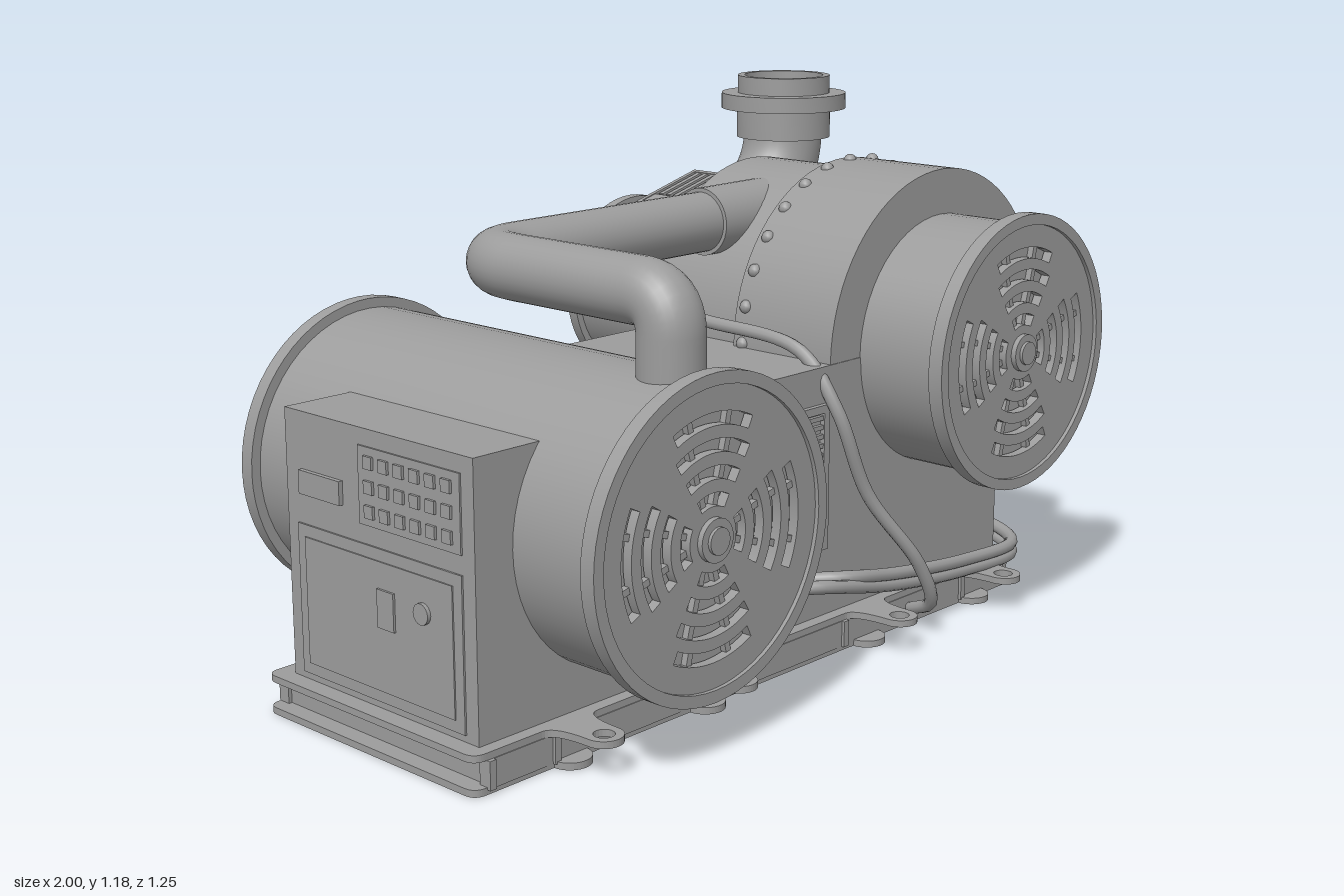
import * as THREE from 'three';
import { toCreasedNormals } from 'three/addons/utils/BufferGeometryUtils.js';

const grey = new THREE.MeshStandardMaterial({ color: 0x9c9c9c, side: THREE.DoubleSide });
const V = (p) => new THREE.Vector3(...p);

function add(parent, name, geometry, x = 0, y = 0, z = 0) {
  const mesh = new THREE.Mesh(geometry, grey);
  mesh.name = name;
  mesh.position.set(x, y, z);
  parent.add(mesh);
  return mesh;
}
function addGroup(parent, name, x = 0, y = 0, z = 0) {
  const g = new THREE.Group();
  g.name = name;
  g.position.set(x, y, z);
  parent.add(g);
  return g;
}
const box = (w, h, d) => new THREE.BoxGeometry(w, h, d);
const lathe = (pts, n = 48) =>
  toCreasedNormals(new THREE.LatheGeometry(pts.map((p) => new THREE.Vector2(...p)), n), 0.5);
// Solid cylinder along z, from z0 to z1
const drumZ = (r, z0, z1, n = 56) =>
  new THREE.CylinderGeometry(r, r, z1 - z0, n).rotateX(Math.PI / 2).translate(0, 0, (z0 + z1) / 2);
const tube = (pts, r, n = 80) =>
  new THREE.TubeGeometry(new THREE.CatmullRomCurve3(pts.map(V), false, 'centripetal'), n, r, 10);

// Arc-shaped slot outline centred on an angle
function slot(r0, r1, mid, half) {
  const p = new THREE.Path();
  p.absarc(0, 0, r1, mid - half, mid + half, false);
  p.absarc(0, 0, r0, mid + half, mid - half, true);
  p.closePath();
  return p;
}

// Slotted round end cover facing +z
function ventCover(parent, name, x, y, z, scale) {
  const g = addGroup(parent, name, x, y, z);
  g.scale.set(scale, scale, 1);
  const rim = [[0.29, 0], [0.332, 0], [0.332, 0.035], [0.306, 0.035], [0.306, 0.026], [0.285, 0.026]];
  add(g, 'coverRim', lathe(rim, 64).rotateX(Math.PI / 2));
  const disc = new THREE.Shape().absarc(0, 0, 0.295, 0, Math.PI * 2);
  const rings = [[0.225, 0.252, 0.46], [0.172, 0.199, 0.55], [0.119, 0.146, 0.55], [0.066, 0.093, 0.5]];
  for (const [r0, r1, half] of rings) {
    for (let i = 0; i < 4; i++) {
      const mid = (i * Math.PI) / 2;
      disc.holes.push(slot(r0, r1, mid, half));
      // Sunken bars inside each slot
      for (const s of [-0.5, 0.5]) {
        const a = mid + s * half;
        const bar = add(g, 'slotBar', box(r1 - r0, 0.014, 0.014),
          Math.cos(a) * (r0 + r1) / 2, Math.sin(a) * (r0 + r1) / 2, 0.008);
        bar.rotation.z = a;
      }
    }
  }
  const geo = new THREE.ExtrudeGeometry(disc, { depth: 0.022, bevelEnabled: false, curveSegments: 32 });
  add(g, 'slottedDisc', geo, 0, 0, 0.004);
  add(g, 'hub', drumZ(0.045, 0, 0.038, 24));
  add(g, 'hubCap', drumZ(0.028, 0.03, 0.045, 20));
  return g;
}

function boltRing(parent, name, z, r, count, size) {
  const g = addGroup(parent, name, 0, 0, z);
  for (let i = 0; i < count; i++) {
    const a = ((i + 0.4) / count) * Math.PI * 2;
    add(g, 'bolt', new THREE.SphereGeometry(size, 10, 8), Math.cos(a) * r, Math.sin(a) * r);
  }
}

// Plate with rounded corners and flared side tabs, lying flat
function plate(parent, name, y, h, tabs, reach, half, flare, hole) {
  const s = new THREE.Shape();
  const x0 = -1, x1 = 0.75, f = -0.4, b = 0.245, r = 0.03;
  s.moveTo(x0 + r, f);
  for (const t of tabs) {
    s.lineTo(t - half - flare, f);
    s.quadraticCurveTo(t - half, f, t - half, f - reach + half);
    s.absarc(t, f - reach + half, half, Math.PI, Math.PI * 2, false);
    s.quadraticCurveTo(t + half, f, t + half + flare, f);
  }
  s.lineTo(x1 - r, f);
  s.quadraticCurveTo(x1, f, x1, f + r);
  s.lineTo(x1, b - r);
  s.quadraticCurveTo(x1, b, x1 - r, b);
  for (const t of [...tabs].reverse()) {
    s.lineTo(t + half + flare, b);
    s.quadraticCurveTo(t + half, b, t + half, b + reach - half);
    s.absarc(t, b + reach - half, half, 0, Math.PI, false);
    s.quadraticCurveTo(t - half, b, t - half - flare, b);
  }
  s.lineTo(x0 + r, b);
  s.quadraticCurveTo(x0, b, x0, b - r);
  s.lineTo(x0, f + r);
  s.quadraticCurveTo(x0, f, x0 + r, f);
  if (hole) for (const t of tabs) for (const hy of [f - reach + half, b + reach - half])
    s.holes.push(new THREE.Path().absarc(t, hy, hole, 0, Math.PI * 2));
  const geo = new THREE.ExtrudeGeometry(s, { depth: h, bevelEnabled: false, curveSegments: 10 });
  add(parent, name, geo.rotateX(-Math.PI / 2), 0, y, 0);
}

export function createModel() {
  const model = new THREE.Group();
  model.name = 'twinMotorBlower';

  // Base frame and housing
  const base = addGroup(model, 'base');
  const tabs = [-0.75, -0.36, 0.18, 0.58];
  plate(base, 'lowerPlate', 0, 0.015, tabs, 0.045, 0.044, 0.09, 0);
  plate(base, 'upperPlate', 0.07, 0.015, tabs, 0.135, 0.04, 0.035, 0.022);
  add(base, 'frameCore', box(1.67, 0.06, 0.64), -0.125, 0.04, 0.082);
  for (const x of [-0.96, -0.79, -0.355, 0.1, 0.54, 0.71])
    for (const z of [-0.232, 0.394]) add(base, 'frameRib', box(0.016, 0.06, 0.03), x, 0.04, z);
  add(model, 'housing', box(1.675, 0.575, 0.57), -0.1225, 0.3675, 0.085);

  // Front air grille
  const grille = addGroup(model, 'frontGrille', -0.0625, 0.408, 0.372);
  for (const s of [-1, 1]) {
    add(grille, 'frameSide', box(0.018, 0.33, 0.02), s * 0.116, 0, 0);
    add(grille, 'frameEnd', box(0.25, 0.018, 0.02), 0, s * 0.156, 0);
  }
  add(grille, 'mullion', box(0.014, 0.3, 0.016));
  for (let i = 0; i < 14; i++) add(grille, 'slat', box(0.22, 0.01, 0.014), 0, -0.137 + i * 0.021, 0);

  // Control panel on the end wall
  const panel = addGroup(model, 'controlPanel', -0.96, 0, 0.085);
  add(panel, 'door', box(0.008, 0.32, 0.5), 0, 0.26, 0);
  add(panel, 'doorInset', box(0.014, 0.27, 0.45), 0, 0.26, 0);
  add(panel, 'lock', box(0.024, 0.08, 0.05), 0, 0.3, 0.03);
  add(panel, 'knob', new THREE.CylinderGeometry(0.022, 0.022, 0.03, 16).rotateZ(Math.PI / 2), 0, 0.32, 0.14);
  add(panel, 'buttonPlate', box(0.008, 0.16, 0.3), 0, 0.54, 0.1);
  for (let i = 0; i < 3; i++) for (let j = 0; j < 6; j++)
    add(panel, 'button', box(0.02, 0.026, 0.026), 0, 0.49 + i * 0.05, -0.015 + j * 0.046);
  add(panel, 'connector', box(0.02, 0.05, 0.13), 0, 0.51, -0.17);

  // Through motor with covers on both ends
  const motor = addGroup(model, 'sideMotor', -0.555, 0.455, 0);
  add(motor, 'motorBody', drumZ(0.31, -0.425, 0.576));
  ventCover(motor, 'frontCover', 0, 0, 0.575, 1);
  ventCover(motor, 'rearCover', 0, 0, -0.425, 1).rotation.y = Math.PI;

  // Stepped blower drum with front motor and rear drive
  const blower = addGroup(model, 'blower', 0.468, 0.655, 0);
  add(blower, 'frontMotorBody', drumZ(0.287, 0.36, 0.576));
  ventCover(blower, 'frontCover', 0, 0, 0.575, 0.94);
  add(blower, 'largeDrum', drumZ(0.39, 0.085, 0.368, 72));
  add(blower, 'rearDrum', drumZ(0.365, -0.2, 0.09, 72));
  boltRing(blower, 'drumBolts', 0.11, 0.386, 29, 0.016);
  add(blower, 'rearFlange', drumZ(0.245, -0.24, -0.19));
  boltRing(blower, 'flangeBolts', -0.222, 0.24, 30, 0.016);
  add(blower, 'driveBody', drumZ(0.21, -0.6, -0.23));
  add(blower, 'driveEndPlate', drumZ(0.228, -0.625, -0.597));

  // Terminal box: gently sloped lid, pipe face and downward gland face
  const term = addGroup(model, 'terminalBox');
  const outline = [[0.4, 0.86], [0.468, 0.6], [0.64, 0.55], [0.76, 0.755], [0.66, 0.93]];
  const profile = new THREE.Shape(outline.map((p) => new THREE.Vector2(...p)));
  add(term, 'boxBody', new THREE.ExtrudeGeometry(profile,
    { depth: 0.285, bevelEnabled: false }), 0, 0, -0.56);

  // Louvre on the lid
  const louvre = addGroup(term, 'louvre', 0.54, 0.899, -0.425);
  louvre.rotation.z = Math.atan2(0.07, 0.26);
  for (const s of [-1, 1]) {
    add(louvre, 'louvreSide', box(0.012, 0.016, 0.278), s * 0.107, 0, 0);
    add(louvre, 'louvreEnd', box(0.226, 0.016, 0.012), 0, 0, s * 0.133);
  }
  add(louvre, 'louvreBorder', box(0.05, 0.012, 0.26), -0.078, 0, 0);
  for (let i = 0; i < 10; i++) add(louvre, 'louvreSlat', box(0.15, 0.012, 0.014), 0.028, 0, -0.113 + i * 0.025);

  // Cable glands
  const glands = addGroup(term, 'glands', 0.648, 0.568, 0);
  glands.rotation.z = -Math.PI / 2 - 0.53;
  for (const z of [-0.33, -0.415, -0.495]) {
    add(glands, 'gland', new THREE.CylinderGeometry(0.023, 0.023, 0.04, 6), 0, 0.01, z);
    add(glands, 'glandTip', new THREE.CylinderGeometry(0.018, 0.018, 0.03, 14), 0, 0.04, z);
  }

  // Upright outlet with elbow and flanged mouth
  const outlet = addGroup(model, 'outlet');
  const bend = new THREE.QuadraticBezierCurve3(V([0.64, 0.825, -0.422]), V([0.837, 0.87, -0.422]), V([0.837, 1.05, -0.422]));
  add(outlet, 'elbow', new THREE.TubeGeometry(bend, 24, 0.102, 32));
  const mouth = [[0.1, 1.02], [0.122, 1.02], [0.122, 1.095], [0.162, 1.095], [0.162, 1.135],
    [0.12, 1.135], [0.12, 1.18], [0.102, 1.18], [0.102, 1.03]];
  add(outlet, 'mouth', lathe(mouth), 0.837, 0, -0.422);
  add(outlet, 'mouthFloor', new THREE.CircleGeometry(0.103, 32).rotateX(-Math.PI / 2), 0.837, 1.04, -0.422);

  // Crossover pipe between motor and drum
  const cross = new THREE.CurvePath();
  const P = [[-0.555, 0.7, 0.49], [-0.555, 0.84, 0.49], [-0.555, 0.917, 0.49], [-0.555, 0.917, 0.41],
    [-0.555, 0.917, 0.06], [-0.555, 0.917, -0.058], [-0.44, 0.917, -0.058], [0.3, 0.917, -0.058]].map(V);
  cross.add(new THREE.LineCurve3(P[0], P[1]));
  cross.add(new THREE.QuadraticBezierCurve3(P[1], P[2], P[3]));
  cross.add(new THREE.LineCurve3(P[3], P[4]));
  cross.add(new THREE.QuadraticBezierCurve3(P[4], P[5], P[6]));
  cross.add(new THREE.LineCurve3(P[6], P[7]));
  add(model, 'crossoverPipe', new THREE.TubeGeometry(cross, 120, 0.069, 28));
  add(model, 'pipeSleeve', new THREE.CylinderGeometry(0.08, 0.078, 0.28, 32).rotateZ(-Math.PI / 2), 0.265, 0.917, -0.058);

  // Cables from the terminal box to the front of the base
  const cables = addGroup(model, 'cables');
  [[-0.415, 0, -0.115], [-0.495, 0.025, -0.02]].forEach(([z, o, endX]) => {
    add(cables, 'longCable', tube([[0.65, 0.567, z], [0.71, 0.53, z], [0.755, 0.43, z + 0.05 - o],
      [0.77, 0.27, -0.2 - 3 * o], [0.775, 0.16, 0.06 - 2 * o], [0.77, 0.1 + o, 0.34], [0.72, 0.09 + o, 0.42],
      [0.5, 0.1 + o, 0.44], [0.2, 0.14 + o, 0.45], [endX + 0.08, 0.19, 0.44], [endX, 0.185, 0.36]], 0.015));
    add(cables, 'cableSocket', drumZ(0.024, 0.36, 0.395, 14), endX, 0.185, 0);
  });
  add(cables, 'overheadCable', tube([[0.65, 0.567, -0.33], [0.71, 0.535, -0.32], [0.745, 0.58, -0.28],
    [0.75, 0.72, -0.26], [0.68, 0.87, -0.257], [0.45, 0.915, -0.255], [0.2, 0.83, -0.235], [0.09, 0.79, -0.17],
    [0.055, 0.72, -0.05], [0.055, 0.68, 0.3], [0.065, 0.56, 0.4], [0.14, 0.36, 0.43], [0.25, 0.19, 0.49],
    [0.31, 0.08, 0.485], [0.335, 0.04, 0.41]], 0.015, 110));
  return model;
}
